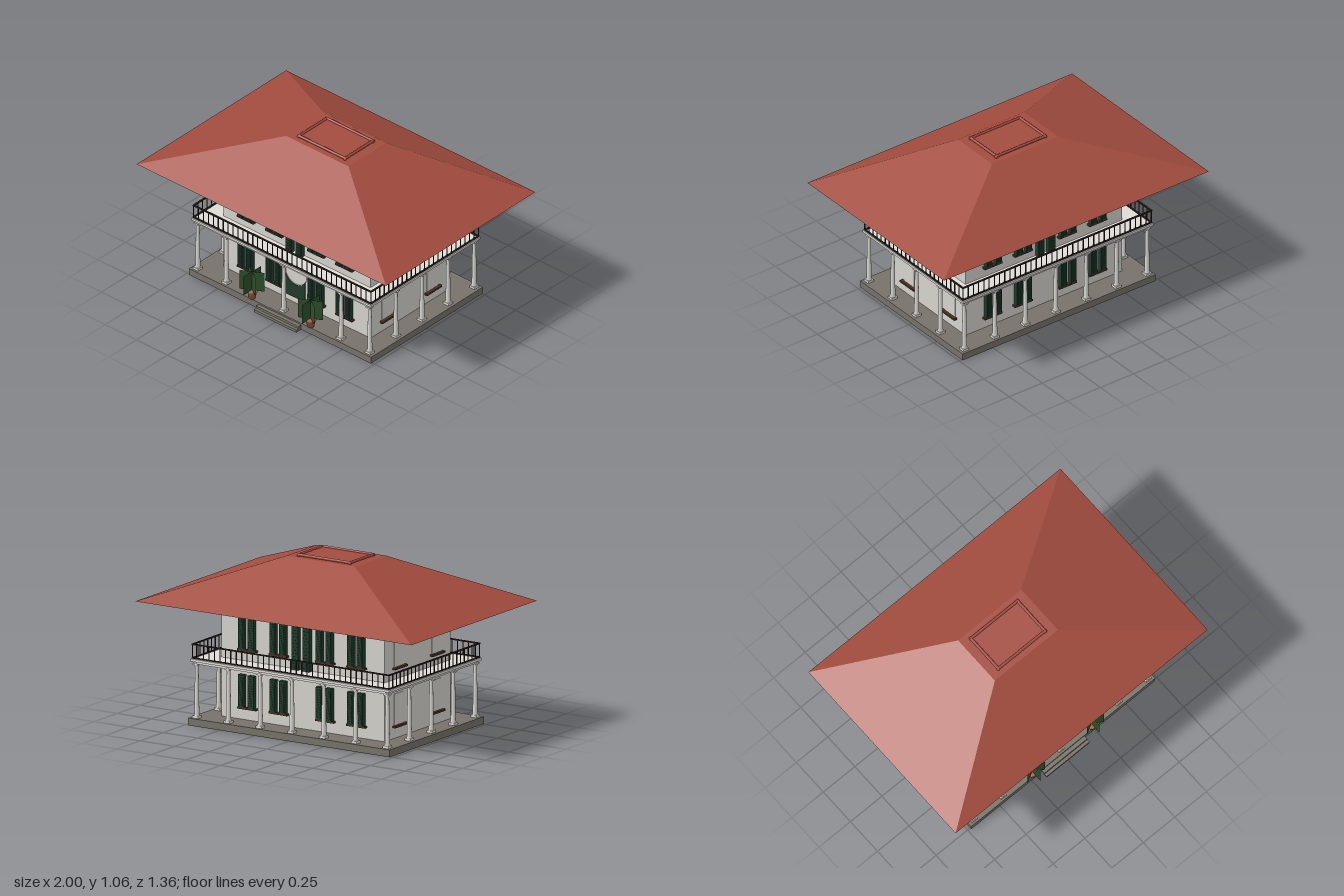
import * as THREE from 'three';

const mat = (color, extra = {}) => new THREE.MeshStandardMaterial({ color, ...extra });

export function createModel() {
  const house = new THREE.Group();
  house.name = 'house';
  const wall = mat(0xd6d4cd), white = mat(0xdedcd6), stone = mat(0x77726a), roofRed = mat(0xa34c3f);
  const green = mat(0x1f3b2b), dark = mat(0x2c231e), brown = mat(0x4a2f25), clay = mat(0x9a5a44);
  const leaf = mat(0x2c4f2a, { side: THREE.DoubleSide });

  const add = (parent, name, geometry, material, x = 0, y = 0, z = 0) => {
    const mesh = new THREE.Mesh(geometry, material);
    mesh.name = name;
    mesh.position.set(x, y, z);
    parent.add(mesh);
    return mesh;
  };
  // Box given by its centre in x and z, and its bottom and top heights
  const box = (parent, name, material, w, d, y0, y1, x = 0, z = 0) =>
    add(parent, name, new THREE.BoxGeometry(w, y1 - y0, d), material, x, (y0 + y1) / 2, z);
  const group = (name, parent = house) => {
    const g = new THREE.Group();
    g.name = name;
    parent.add(g);
    return g;
  };

  // Plinth, entrance steps and walls
  box(house, 'plinth', stone, 1.46, 1.02, 0, 0.045);
  box(house, 'lowerStep', stone, 0.34, 0.06, 0, 0.018, 0, 0.525);
  box(house, 'upperStep', stone, 0.34, 0.04, 0, 0.034, 0, 0.515);
  box(house, 'walls', wall, 1.18, 0.71, 0.045, 0.765);

  // Hipped roof: a four-sided frustum stretched to a rectangle
  const roofShape = new THREE.CylinderGeometry(0.25 * Math.SQRT2, Math.SQRT2, 0.28, 4, 1).toNonIndexed();
  roofShape.rotateY(Math.PI / 4).scale(1, 1, 0.68);
  roofShape.computeVertexNormals();
  add(house, 'roof', roofShape, roofRed, 0, 0.905, 0);
  box(house, 'soffit', dark, 1.42, 0.98, 0.755, 0.766);
  const ridge = group('roofCap');
  box(ridge, 'capPanel', roofRed, 0.36, 0.25, 1.04, 1.052);
  for (const s of [-1, 1]) {
    const long = add(ridge, 'capRim', new THREE.CylinderGeometry(0.009, 0.009, 0.38, 8), roofRed, 0, 1.053, s * 0.127);
    long.rotation.z = Math.PI / 2;
    const short = add(ridge, 'capRim', new THREE.CylinderGeometry(0.009, 0.009, 0.254, 8), roofRed, s * 0.185, 1.053, 0);
    short.rotation.x = Math.PI / 2;
    for (const t of [-1, 1]) {
      add(ridge, 'capKnob', new THREE.SphereGeometry(0.012, 10, 8), roofRed, s * 0.185, 1.05, t * 0.127);
      add(house, 'eaveKnob', new THREE.SphereGeometry(0.012, 8, 6), dark, s * 0.7, 0.758, t * 0.48);
    }
  }

  // Balcony slab and edge beam
  box(house, 'balconyFloor', white, 1.44, 1.0, 0.395, 0.41);
  for (const s of [-1, 1]) {
    box(house, 'edgeBeam', white, 1.41, 0.03, 0.38, 0.395, 0, s * 0.475);
    box(house, 'edgeBeam', white, 0.03, 0.98, 0.38, 0.395, s * 0.69, 0);
  }

  // Railing around the balcony
  const railing = group('railing');
  const baluster = new THREE.BoxGeometry(0.005, 0.085, 0.005);
  for (const s of [-1, 1]) {
    for (const [y0, y1] of [[0.412, 0.419], [0.496, 0.504]]) {
      box(railing, 'rail', dark, 1.43, 0.01, y0, y1, 0, s * 0.489);
      box(railing, 'rail', dark, 0.01, 0.98, y0, y1, s * 0.711, 0);
    }
    for (let i = 0; i <= 36; i++) add(railing, 'baluster', baluster, dark, -0.711 + i * 1.422 / 36, 0.457, s * 0.489);
    for (let i = 1; i < 24; i++) add(railing, 'baluster', baluster, dark, s * 0.711, 0.457, -0.489 + i * 0.978 / 24);
  }

  // Slim tapered veranda columns
  const shaft = new THREE.LatheGeometry([[0, 0], [0.019, 0], [0.019, 0.012], [0.0155, 0.018], [0.011, 0.31],
    [0.017, 0.325], [0.017, 0.338], [0, 0.338]].map(p => new THREE.Vector2(...p)), 14);
  const column = (x, z) => {
    const g = group('column');
    g.position.set(x, 0, z);
    box(g, 'columnBase', white, 0.042, 0.042, 0.045, 0.06);
    add(g, 'columnShaft', shaft, white, 0, 0.05, 0);
    box(g, 'columnCapital', white, 0.036, 0.036, 0.373, 0.382);
  };
  for (const x of [-0.69, -0.46, 0, 0.46, 0.69]) for (const z of [-0.475, 0.475]) column(x, z);
  for (const x of [-0.23, 0.23]) column(x, -0.475);
  for (const x of [-0.69, 0.69]) for (const z of [-0.2375, 0, 0.2375]) column(x, z);

  // Louvred shutter: frame panel with thin slats
  const shutter = (parent, x, y0, y1, w) => {
    box(parent, 'shutter', green, w, 0.03, y0, y1, x, 0.372);
    const n = 12, step = (y1 - y0 - 0.02) / n;
    for (let i = 0; i < n; i++) {
      const y = y0 + 0.01 + i * step;
      box(parent, 'slat', green, w * 0.75, 0.006, y, y + step * 0.55, x, 0.388);
    }
  };

  // Windows on the front and back
  for (const side of [0, 1]) {
    const face = group(side ? 'backWindows' : 'frontWindows');
    face.rotation.y = side * Math.PI;
    for (const y of [0.12, 0.48]) for (const x of [-0.395, -0.168, 0.168, 0.395]) {
      box(face, 'windowPane', wall, 0.1, 0.012, y, y + 0.2, x, 0.354);
      box(face, 'windowSill', brown, 0.132, 0.03, y - 0.006, y + 0.006, x, 0.366);
      for (const s of [-1, 1]) shutter(face, x + s * 0.035, y + 0.006, y + 0.207, 0.042);
    }
    for (const s of [-1, 1]) shutter(face, s * 0.04, 0.41, 0.677, 0.047);
  }

  // Sills and plain frames on the end walls
  for (const s of [-1, 1]) for (const z of [-0.203, 0.203]) for (const y of [0.12, 0.48]) {
    box(house, 'endWindow', wall, 0.008, 0.1, y, y + 0.2, s * 0.59, z);
    box(house, 'endSill', brown, 0.03, 0.136, y - 0.006, y + 0.006, s * 0.598, z);
  }

  // Arched entrance surround with a round light over green door leaves
  const arch = new THREE.Shape();
  arch.moveTo(-0.1, 0.045).lineTo(0.1, 0.045).lineTo(0.1, 0.26);
  arch.absarc(0, 0.26, 0.1, 0, Math.PI, false);
  arch.lineTo(-0.1, 0.045);
  add(house, 'doorSurround', new THREE.ExtrudeGeometry(arch, { depth: 0.012, bevelEnabled: false, curveSegments: 24 }), wall, 0, 0, 0.352);
  const leafShape = new THREE.Shape();
  leafShape.moveTo(-0.077, 0.085).lineTo(0.077, 0.085).lineTo(0.077, 0.23);
  leafShape.absarc(0, 0.265, 0.085, -0.43, Math.PI + 0.43, true);
  leafShape.lineTo(-0.077, 0.085);
  const notched = new THREE.Shape();
  notched.moveTo(-0.077, 0.085).lineTo(0.077, 0.085).lineTo(0.077, 0.229);
  notched.absarc(0, 0.265, 0.085, -0.437, -Math.PI + 0.437, true);
  notched.lineTo(-0.077, 0.085);
  add(house, 'doorLeaves', new THREE.ExtrudeGeometry(notched, { depth: 0.008, bevelEnabled: false, curveSegments: 20 }), green, 0, 0, 0.362);
  add(house, 'roundLight', new THREE.TorusGeometry(0.086, 0.003, 6, 32), wall, 0, 0.265, 0.364);

  // Potted shrubs and small hanging lanterns beside the entrance
  const potProfile = [[0, 0], [0.02, 0], [0.029, 0.045], [0.034, 0.045], [0.034, 0.06], [0, 0.06]].map(p => new THREE.Vector2(...p));
  for (const s of [-1, 1]) {
    const plant = group('pottedShrub');
    plant.position.set(s * 0.235, 0.045, 0.497);
    add(plant, 'pot', new THREE.LatheGeometry(potProfile, 14), clay);
    for (let i = 0; i < 3; i++) {
      const f = add(plant, 'foliage', new THREE.PlaneGeometry(0.155, 0.135), leaf, 0, 0.123, 0);
      f.rotation.y = 0.5 + i * Math.PI / 3;
    }
    add(house, 'lantern', new THREE.CylinderGeometry(0.007, 0.005, 0.018, 6), dark, s * 0.45, 0.375, 0.408);
  }
  return house;
}
